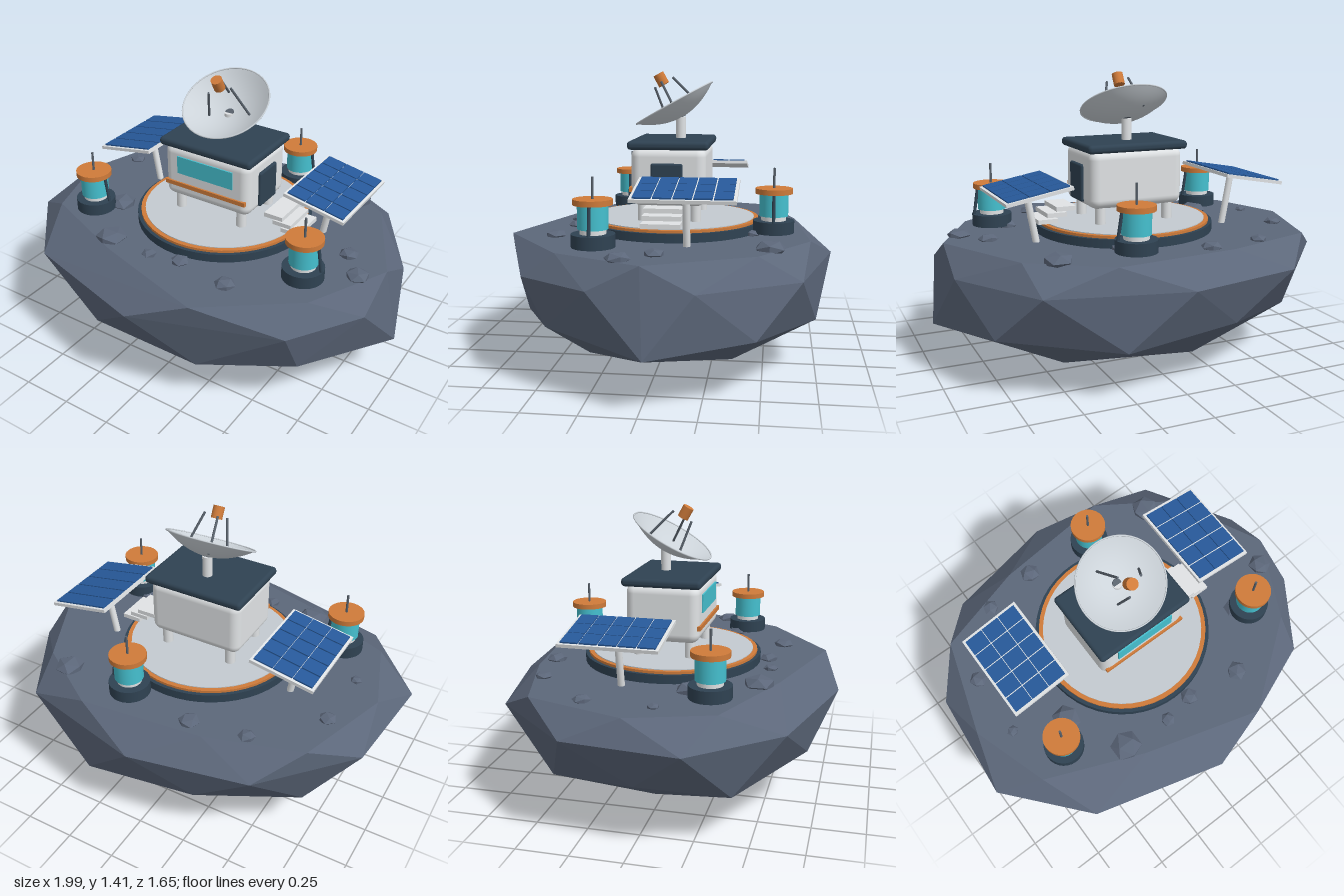
import * as THREE from 'three';
import { RoundedBoxGeometry } from 'three/addons/geometries/RoundedBoxGeometry.js';
import { ConvexGeometry } from 'three/addons/geometries/ConvexGeometry.js';

const material = (name, color, extra = {}) => {
  const m = new THREE.MeshStandardMaterial({ color, ...extra });
  m.name = name;
  return m;
};

export function createModel() {
  const rock = material('rock', 0x5c677a, { flatShading: true });
  const white = material('white', 0xe0e3e5);
  const grey = material('padGrey', 0xc3cad0);
  const dishGrey = material('dishGrey', 0xccd3d9, { side: THREE.DoubleSide });
  const dark = material('darkSlate', 0x2f4252);
  const orange = material('orange', 0xcf7b3a);
  const glass = material('cyanGlass', 0x45c0cf);
  const blue = material('solarBlue', 0x27599a);
  const steel = material('steel', 0x59626c);

  const model = new THREE.Group();
  const add = (name, geometry, mat, x = 0, y = 0, z = 0, parent = model) => {
    const mesh = new THREE.Mesh(geometry, mat);
    mesh.name = name;
    mesh.position.set(x, y, z);
    parent.add(mesh);
    return mesh;
  };
  const box = (w, h, d) => new THREE.BoxGeometry(w, h, d);
  const cyl = (r, h, sides = 24) => new THREE.CylinderGeometry(r, r, h, sides);
  const rod = (name, a, b, r, mat, parent = model) => {
    const from = new THREE.Vector3(...a), to = new THREE.Vector3(...b);
    const dir = to.clone().sub(from);
    const mid = from.clone().add(to).multiplyScalar(0.5);
    const mesh = add(name, cyl(r, dir.length(), 10), mat, mid.x, mid.y, mid.z, parent);
    mesh.quaternion.setFromUnitVectors(new THREE.Vector3(0, 1, 0), dir.normalize());
    return mesh;
  };

  // Asteroid: faceted hull through horizontal rings of [x, z] points, flat on top
  const rings = [
    [0, [[0, -0.02]]],
    [0.08, [[-0.49, 0], [0.44, 0.32], [0.45, -0.36], [-0.17, 0.35], [-0.17, -0.48]]],
    [0.24, [[0.99, -0.02], [0.28, 0.66], [0.29, -0.75], [-0.76, 0.42], [-0.72, -0.42]]],
    [0.285, [[-0.85, 0], [0.71, 0.46], [0.81, -0.48], [-0.28, 0.7], [-0.28, -0.7]]],
    [0.51, [[0.922, 0.23], [0.7, 0.57], [0, 0.82], [-0.66, 0.64], [-1, 0.25],
      [-0.95, -0.3], [-0.58, -0.71], [0, -0.83], [0.65, -0.675], [0.922, -0.23]]],
    [0.625, [[0.92, 0], [0.72, 0.41], [0.295, 0.73], [-0.29, 0.56], [-0.78, 0.36],
      [-0.91, -0.03], [-0.76, -0.51], [-0.295, -0.65], [0.32, -0.715], [0.68, -0.48]]],
  ];
  const points = rings.flatMap(([y, ring]) => ring.map(([x, z]) => new THREE.Vector3(x, y, z)));
  add('asteroid', new ConvexGeometry(points), rock);

  // Loose boulders: x, z, radius
  [[-0.35, 0.47, 0.08], [-0.1, 0.49, 0.038], [0.06, 0.46, 0.047], [0.34, 0.5, 0.053],
    [0.82, 0.11, 0.06], [0.71, -0.03, 0.05], [0.53, -0.53, 0.075], [-0.2, -0.59, 0.053],
    [-0.48, -0.55, 0.043], [-0.75, -0.26, 0.045], [-0.76, 0.07, 0.03], [-0.51, 0.18, 0.075],
    [0.55, 0.22, 0.055], [0.2, -0.44, 0.04]].forEach(([x, z, r], i) => {
    const boulder = add('boulder', new THREE.IcosahedronGeometry(r, 0), rock, x, 0.632, z);
    boulder.scale.y = 0.5;
    boulder.rotation.y = i * 1.3;
  });

  // Landing pad
  const cz = -0.03;
  add('padBase', cyl(0.45, 0.045, 48), dark, 0, 0.645, cz);
  add('padTrim', cyl(0.432, 0.02, 48), orange, 0, 0.67, cz);
  add('padTop', cyl(0.41, 0.02, 48), grey, 0, 0.674, cz);

  // Habitat cabin
  add('cabin', new RoundedBoxGeometry(0.49, 0.285, 0.365, 4, 0.045), white, 0, 0.905, cz);
  add('roof', new RoundedBoxGeometry(0.525, 0.042, 0.395, 3, 0.018), dark, 0, 1.058, cz);
  add('frontWindow', box(0.32, 0.092, 0.009), glass, 0, 0.95, 0.155);
  add('frontStripe', box(0.465, 0.022, 0.016), orange, 0, 0.842, 0.154);
  add('door', new RoundedBoxGeometry(0.024, 0.185, 0.155, 2, 0.01), dark, 0.247, 0.88, -0.025);
  for (const x of [-0.18, 0.18])
    for (const z of [-0.13, 0.13]) add('cabinLeg', cyl(0.026, 0.11, 16), white, x, 0.735, cz + z);

  // Entry steps
  [[0.34, 0.765], [0.387, 0.737], [0.434, 0.708]].forEach(([x, y]) =>
    add('step', box(0.1, 0.022, 0.185), white, x, y, -0.025));

  // Dish antenna: open bowl tilted up and forward
  add('dishMast', cyl(0.025, 0.12, 20), white, 0, 1.125, -0.067);
  const dish = new THREE.Group();
  dish.name = 'dish';
  dish.position.set(0, 1.252, -0.032);
  dish.rotation.x = 0.51;
  model.add(dish);
  const bowl = [];
  for (let i = 0; i <= 10; i++) {
    const t = i / 10;
    bowl.push(new THREE.Vector2(0.218 * t, -0.08 + 0.08 * t * t));
  }
  add('dishBowl', new THREE.LatheGeometry(bowl, 48), dishGrey, 0, 0, 0, dish);
  add('dishRim', new THREE.TorusGeometry(0.218, 0.004, 6, 48), dishGrey, 0, 0, 0, dish).rotation.x = Math.PI / 2;
  add('dishHub', cyl(0.022, 0.008, 20), steel, 0, -0.077, 0, dish);
  add('feedHorn', cyl(0.028, 0.06, 20), orange, 0, 0.135, 0, dish);
  rod('feedStrut', [-0.055, 1.25, -0.15], [-0.03, 1.38, -0.02], 0.006, steel);
  rod('feedStrut', [0.12, 1.205, -0.06], [0.065, 1.36, 0.025], 0.006, steel);
  rod('feedStrut', [-0.06, 1.19, 0.02], [-0.03, 1.33, 0.07], 0.006, steel);

  // Solar panels, sloping outward on leaning posts
  for (const side of [-1, 1]) {
    const panel = new THREE.Group();
    panel.name = side > 0 ? 'leftSolarPanel' : 'rightSolarPanel';
    panel.position.set(side * 0.556, 0.888, -0.152);
    panel.rotation.z = -side * 0.18;
    model.add(panel);
    add('panelFrame', box(0.322, 0.016, 0.468), white, 0, 0, 0, panel);
    add('panelPost', cyl(0.017, 0.27, 14), white, 0, -0.135, 0, panel);
    for (let i = -1; i <= 1; i++)
      for (let j = -2; j <= 2; j++)
        add('solarCell', box(0.096, 0.008, 0.082), blue, i * 0.1, 0.011, j * 0.089, panel);
  }

  // Beacon tanks
  for (const [x, z] of [[-0.598, 0.288], [0.612, 0.258], [0.16, -0.54]]) {
    const tank = new THREE.Group();
    tank.name = 'beaconTank';
    tank.position.set(x, 0.62, z);
    model.add(tank);
    add('tankBase', cyl(0.1, 0.06, 28), dark, 0, 0.045, 0, tank);
    add('tankCollar', cyl(0.06, 0.03, 28), white, 0, 0.085, 0, tank);
    add('tankGlass', cyl(0.07, 0.11, 28), glass, 0, 0.152, 0, tank);
    add('tankCap', cyl(0.09, 0.026, 28), orange, 0, 0.219, 0, tank);
    add('tankAerial', cyl(0.006, 0.1, 10), steel, 0, 0.28, 0, tank);
    rod('tankBrace', [0.092, 0.07, 0], [0.07, 0.212, 0], 0.008, dark, tank);
  }

  return model;
}
